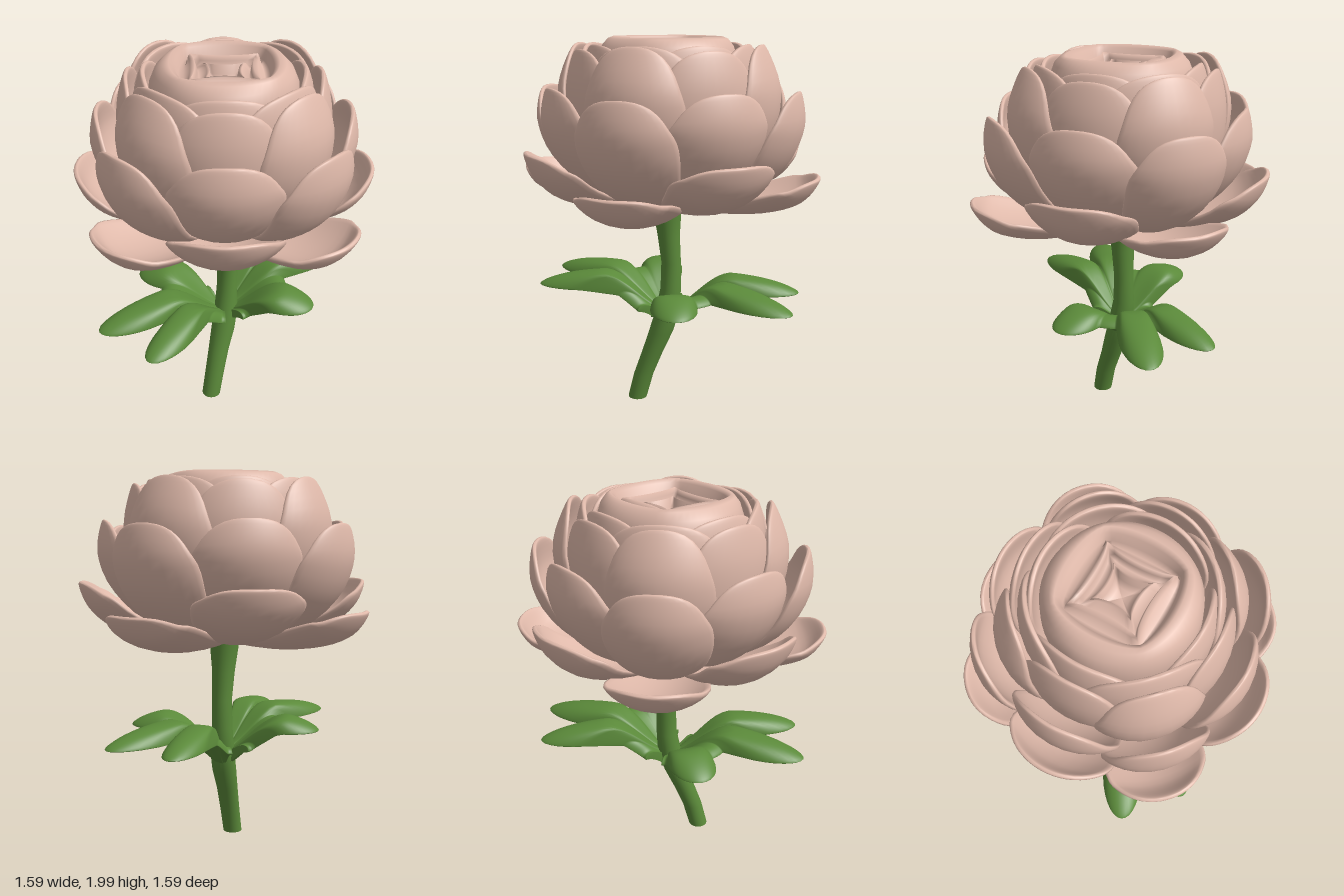
import * as THREE from 'three';

const petalPink = new THREE.MeshStandardMaterial({ color: 0xdeb8a9 });
petalPink.name = 'petal pink';
const leafGreen = new THREE.MeshStandardMaterial({ color: 0x5b8a3a, side: THREE.DoubleSide });
leafGreen.name = 'leaf green';

// Joins closed loops of points into a smooth skin
function loft(rows) {
  const n = rows[0].length, index = [];
  for (let i = 0; i < rows.length - 1; i++) {
    for (let j = 0; j < n; j++) {
      const a = i * n + j, b = i * n + (j + 1) % n;
      index.push(a, a + n, b, b, a + n, b + n);
    }
  }
  const g = new THREE.BufferGeometry();
  g.setAttribute('position', new THREE.Float32BufferAttribute(rows.flat(2), 3));
  g.setIndex(index);
  g.computeVertexNormals();
  return g;
}

// Thick cupped petal growing toward +z along a profile of [radius, height]
function petalShape(profile, width, bend, widest = 0.62) {
  const curve = new THREE.SplineCurve(profile.map(p => new THREE.Vector2(...p)));
  const rows = [], steps = 18, around = 28, base = 0.3, thick = 0.02;
  for (let i = 0; i <= steps; i++) {
    const v = Math.sin(i / steps * Math.PI / 2);
    const p = curve.getPoint(v), t = curve.getTangent(v);
    const k = v < widest
      ? base + (1 - base) * Math.sin(v / widest * Math.PI / 2)
      : Math.sqrt(Math.max(0, 1 - ((v - widest) / (1 - widest)) ** 2));
    const row = [];
    for (let j = 0; j < around; j++) {
      const a = j / around * Math.PI * 2, s = Math.sin(a);
      const angle = Math.cos(a) * width * k / bend;
      const h = thick * Math.sqrt(k) * Math.sign(s) * Math.sqrt(Math.abs(s));
      const lift = bend - (bend - h) * Math.cos(angle);
      row.push([-(bend - h) * Math.sin(angle), p.y + t.x * lift, p.x - t.y * lift]);
    }
    rows.push(row);
  }
  return loft(rows);
}

// Leaf outline: distance from the base at an angle, for three oval lobes on a web
function leafReach(angle) {
  let reach = 0.35 - 0.17 * THREE.MathUtils.smoothstep(Math.abs(angle + 0.19), 0.65, 1.2);
  const lobes = [[0, 0.5, 0.25, 0.105], [0.49, 0.48, 0.23, 0.095], [-0.87, 0.34, 0.17, 0.12]];
  for (const [turn, centre, long, wide] of lobes) {
    const c = Math.cos(angle - turn) / long, s = Math.sin(angle - turn) / wide, d = centre / long;
    const q = c * c + s * s, inside = (c * d) ** 2 - q * (d * d - 1);
    if (c > 0 && inside > 0) reach = Math.max(reach, (c * d + Math.sqrt(inside)) / q);
  }
  return reach;
}

// One-piece leaf growing toward +z: rises from the stem, then droops at the rim
function leafShape() {
  const rows = [], steps = 18, half = 90, spread = 1.3;
  for (let i = 0; i <= steps; i++) {
    const s = Math.sin(i / steps * Math.PI / 2);
    const h = 0.026 * Math.sqrt(1 - s ** 4) + 0.02 * (1 - s) ** 3;
    const row = [];
    for (let j = 0; j < half * 2; j++) {
      const top = j < half, k = top ? j : half * 2 - 1 - j;
      const angle = -0.19 + spread * ((2 * k + 1) / half - 1);
      const r = s * leafReach(angle);
      const y = 0.46 + 0.255 * THREE.MathUtils.smoothstep(r, -0.05, 0.36) - 0.065 * s ** 4;
      row.push([r * Math.sin(angle), y + (top ? h : -h), r * Math.cos(angle)]);
    }
    rows.push(row);
  }
  return loft(rows);
}

function mesh(name, geometry, material) {
  const m = new THREE.Mesh(geometry, material);
  m.name = name;
  return m;
}

export function createModel() {
  const model = new THREE.Group();
  model.name = 'flower';

  // Rings of four petals, alternately turned by an eighth of a circle: profile, width, bend
  const rings = [
    [[[0.05, 1.13], [0.3, 1.12], [0.52, 1.14], [0.7, 1.2], [0.79, 1.31]], 0.27, 0.34],
    [[[0.05, 1.14], [0.35, 1.16], [0.57, 1.22], [0.69, 1.32], [0.745, 1.44]], 0.3, 0.38],
    [[[0.05, 1.15], [0.4, 1.21], [0.6, 1.36], [0.685, 1.55], [0.67, 1.73]], 0.28, 0.34],
    [[[0.05, 1.16], [0.38, 1.24], [0.56, 1.4], [0.635, 1.58], [0.615, 1.75]], 0.3, 0.37],
    [[[0.05, 1.2], [0.35, 1.3], [0.52, 1.5], [0.56, 1.73], [0.48, 1.95]], 0.28, 0.34],
    [[[0.05, 1.2], [0.32, 1.3], [0.47, 1.5], [0.5, 1.73], [0.46, 1.93]], 0.29, 0.42],
    [[[0.05, 1.25], [0.3, 1.4], [0.42, 1.6], [0.44, 1.8], [0.41, 1.95]], 0.3, 0.4, 0.68],
    [[[0.05, 1.25], [0.28, 1.4], [0.39, 1.6], [0.41, 1.8], [0.38, 1.95]], 0.3, 0.38, 0.68],
  ];
  rings.forEach((shape, i) => {
    const ring = new THREE.Group();
    ring.name = `petalRing${i + 1}`;
    const geometry = petalShape(...shape);
    for (let k = 0; k < 4; k++) {
      const petal = mesh('petal', geometry, petalPink);
      petal.rotation.y = (k + (i % 2) / 2) * Math.PI / 2;
      ring.add(petal);
    }
    model.add(ring);
  });

  // Folded bud: [radius, height, power]; a low power pinches the loop into a star
  const bud = [
    [0.3, 1.45, 2], [0.34, 1.62, 2], [0.36, 1.78, 2], [0.355, 1.88, 2], [0.335, 1.94, 1.9],
    [0.31, 1.975, 1.7], [0.29, 1.985, 1.5], [0.27, 1.97, 1.4], [0.26, 1.92, 1.3], [0.255, 1.9, 1.1],
    [0.245, 1.94, 0.9], [0.23, 1.955, 0.8], [0.215, 1.93, 0.8], [0.2, 1.89, 0.8], [0.145, 1.93, 0.75],
    [0.13, 1.935, 0.7], [0.115, 1.89, 0.7], [0.06, 1.87, 0.8], [0, 1.865, 1],
  ].map(([r, y, p]) => Array.from({ length: 64 }, (_, j) => {
    const a = j / 64 * Math.PI * 2, c = Math.cos(a), s = Math.sin(a);
    const q = r / (Math.abs(c) ** p + Math.abs(s) ** p) ** (1 / p);
    return [q * c, y, q * s];
  }));
  model.add(mesh('bud', loft(bud), petalPink));

  // Bent stem: [x, y, z, radius], flat at the foot
  const path = [
    [-0.16, 0, 0.05, 0.052], [-0.125, 0.14, 0.045, 0.054], [-0.075, 0.28, 0.03, 0.058],
    [-0.03, 0.4, 0.02, 0.066], [0.005, 0.52, 0.01, 0.066], [0.02, 0.65, 0, 0.056],
    [0.022, 0.8, 0, 0.053], [0.008, 0.95, 0, 0.06], [0, 1.08, 0, 0.075], [0, 1.18, 0, 0.09],
  ];
  const circle = ([x, y, z, r]) => Array.from({ length: 24 }, (_, j) => {
    const a = j / 24 * Math.PI * 2;
    return [x + r * Math.cos(a), y, z + r * Math.sin(a)];
  });
  const foot = path[0];
  model.add(mesh('stem', loft([[...foot.slice(0, 3), 0], foot, ...path].map(circle)), leafGreen));

  // Two opposite three-lobed leaves
  const leafGeometry = leafShape();
  for (const [name, turn] of [['leftLeaf', 1.3], ['rightLeaf', 1.3 + Math.PI]]) {
    const leaf = mesh(name, leafGeometry, leafGreen);
    leaf.rotation.y = turn;
    model.add(leaf);
  }
  return model;
}
